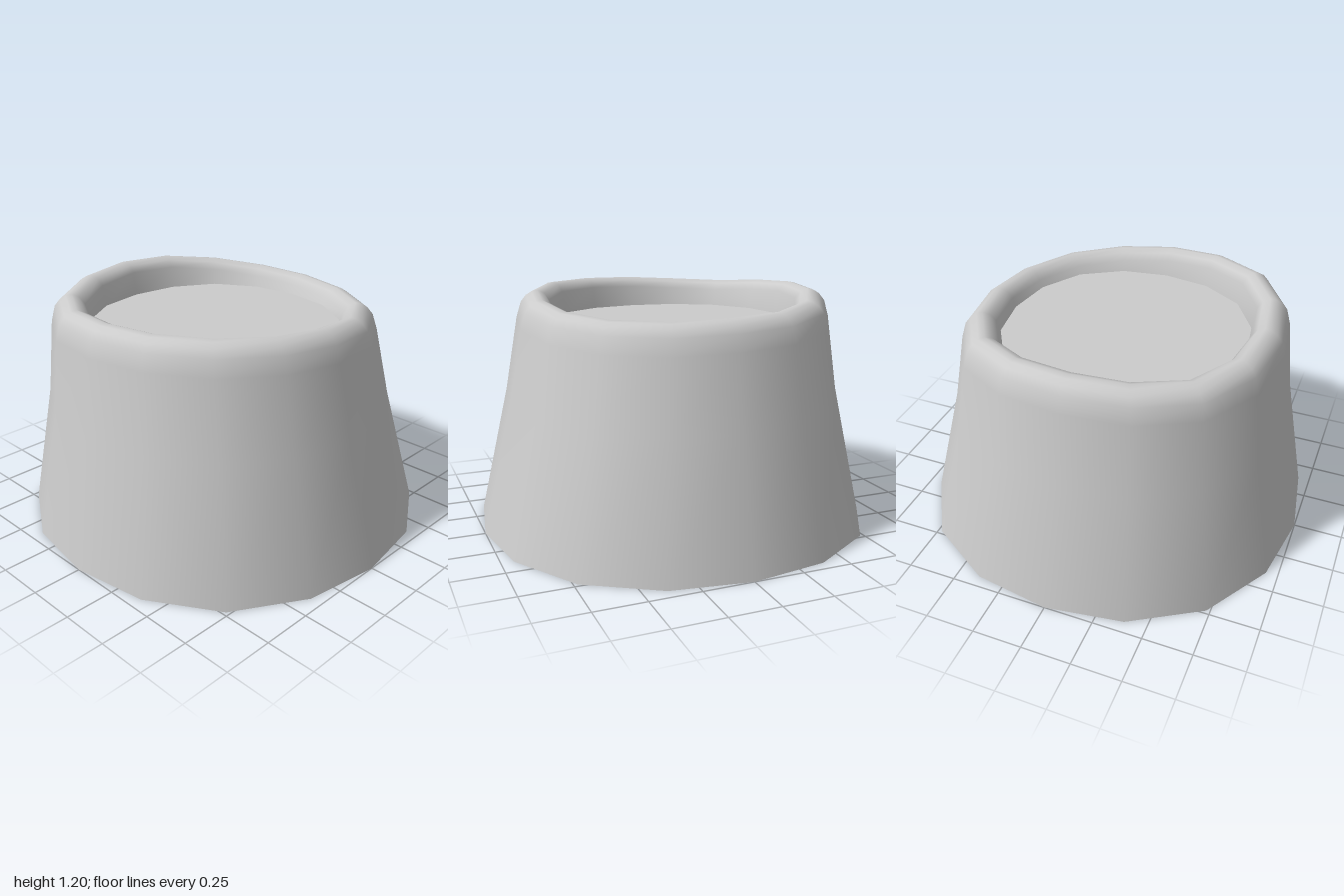
import * as THREE from 'three';

const SIDES = 16;
const TOP_Y = 1.025;

// Uneven crest height of the rim, going from +x round past +z (the front)
const CREST = [1.12, 1.112, 1.115, 1.13, 1.155, 1.175, 1.19, 1.19,
  1.183, 1.169, 1.163, 1.182, 1.195, 1.185, 1.155, 1.13];

// Each ring: radius, sideways shift [x, z], and a share of the crest height or a drop below it
const RECESS = { r: 0.612, y: TOP_Y, shift: [-0.042, -0.028] };
const WALL = [
  { r: 1.0, share: 0, shift: [0, 0] },
  { r: 0.857, share: 0.56, shift: [-0.024, -0.014] },
  { r: 0.8, drop: 0.14, shift: [-0.04, -0.028] },
  { r: 0.777, drop: 0.06, shift: [-0.042, -0.03] },
  { r: 0.75, drop: 0.025, shift: [-0.042, -0.03] },
  { r: 0.72, drop: 0.006, shift: [-0.042, -0.03] },
  { r: 0.69, drop: 0, shift: [-0.042, -0.03] },
  { r: 0.655, drop: 0.015, shift: [-0.042, -0.03] },
  { r: 0.63, drop: 0.05, shift: [-0.042, -0.028] },
  RECESS,
];

// Slightly squared circle, fuller on the diagonals
function ringPoint(ring, i) {
  const a = (i / SIDES) * Math.PI * 2;
  const r = ring.r * (1 + 0.034 * Math.sin(2 * a) ** 2);
  return [ring.shift[0] + r * Math.cos(a), ring.shift[1] + r * Math.sin(a)];
}

function ringHeight(ring, i) {
  if (ring.y !== undefined) return ring.y;
  return ring.share !== undefined ? CREST[i] * ring.share : CREST[i] - ring.drop;
}

// Skin the rings into one smooth closed band
function ringSkin(rings) {
  const pos = [], index = [];
  rings.forEach((ring, j) => {
    for (let i = 0; i < SIDES; i++) {
      const [x, z] = ringPoint(ring, i);
      pos.push(x, ringHeight(ring, i), z);
      if (j < rings.length - 1) {
        const p = j * SIDES + i, next = j * SIDES + ((i + 1) % SIDES);
        index.push(p, p + SIDES, next, next, p + SIDES, next + SIDES);
      }
    }
  });
  const geo = new THREE.BufferGeometry();
  geo.setAttribute('position', new THREE.Float32BufferAttribute(pos, 3));
  geo.setIndex(index);
  geo.computeVertexNormals();
  return geo;
}

export function createModel() {
  const group = new THREE.Group();
  const material = new THREE.MeshStandardMaterial({ color: 0xcccccc, side: THREE.DoubleSide });

  // Tapered wall, open below, rolling over the rim into the recess
  const wall = new THREE.Mesh(ringSkin(WALL), material);
  wall.name = 'wallAndRim';
  group.add(wall);

  // Flat sunken top, with the same outline as the foot of the recess
  const outline = new THREE.Shape(Array.from({ length: SIDES }, (_, i) => {
    const [x, z] = ringPoint(RECESS, SIDES - 1 - i);
    return new THREE.Vector2(x, -z);
  }));
  const top = new THREE.Mesh(new THREE.ShapeGeometry(outline).rotateX(-Math.PI / 2), material);
  top.position.y = TOP_Y;
  top.name = 'sunkenTop';
  group.add(top);

  return group;
}
